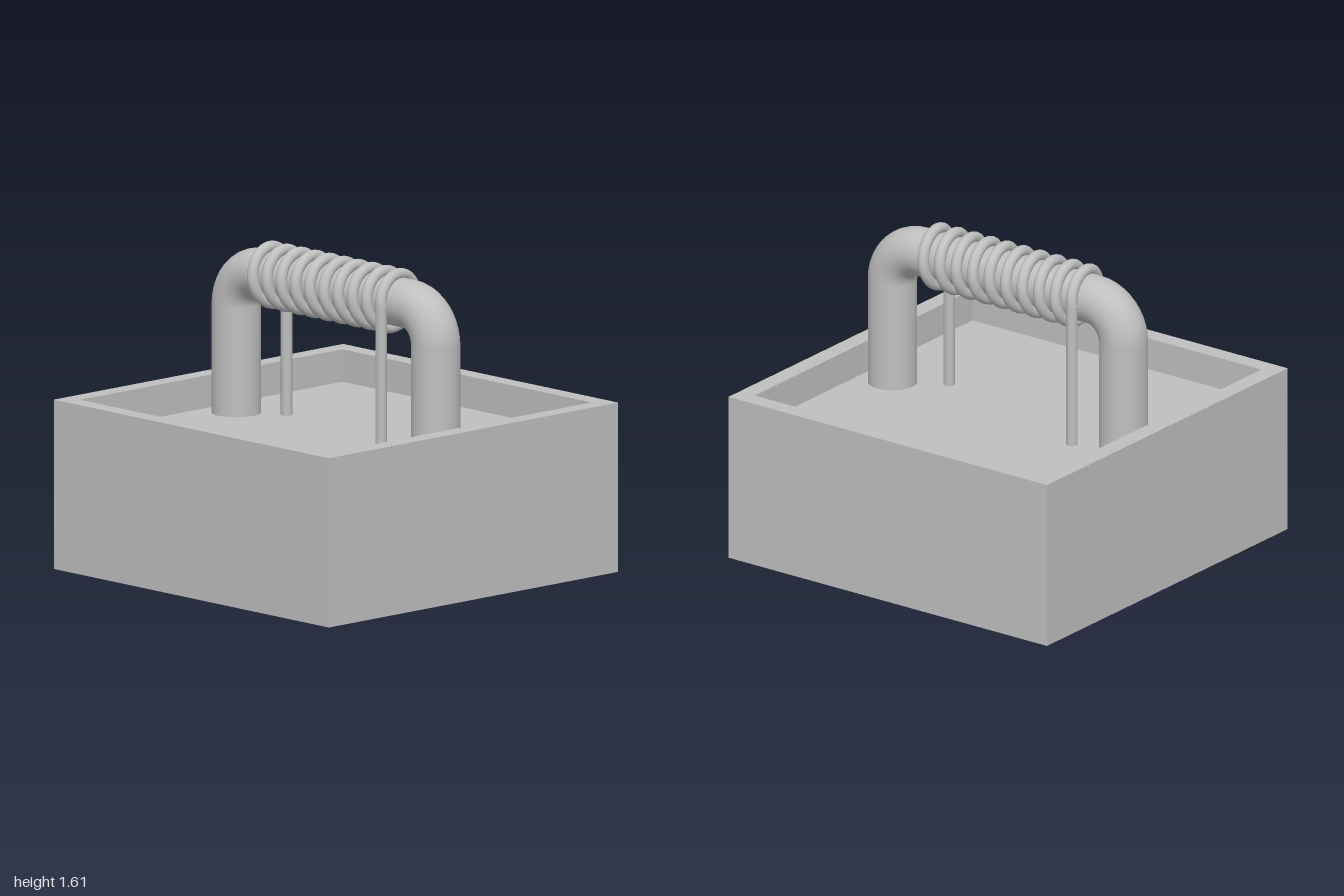
import * as THREE from 'three';

const grey = new THREE.MeshStandardMaterial({ color: 0xbfbfbf });
grey.name = 'plain grey';

const FLOOR = 0.7;          // height of the tray floor
const BAR_Y = 1.443;        // height of the bar axis
const BAR_R = 0.124;
const POST_Z = 0.725;
const BEND_R = 0.185;
const WIRE_R = 0.029;
const COIL_R = 0.141;
const COIL_START = 0.476;   // z where the coil begins
const COIL_END = -0.508;
const TURNS = 9.5;

// Winding from the -x side over the top to the +x side, advancing toward -z
class Helix extends THREE.Curve {
  getPoint(t, target = new THREE.Vector3()) {
    const a = Math.PI - t * TURNS * Math.PI * 2;
    return target.set(
      COIL_R * Math.cos(a),
      BAR_Y + COIL_R * Math.sin(a),
      THREE.MathUtils.lerp(COIL_START, COIL_END, t)
    );
  }
}

function add(parent, name, geometry) {
  const mesh = new THREE.Mesh(geometry, grey);
  mesh.name = name;
  parent.add(mesh);
  return mesh;
}

function upright(parent, name, radius, top, x, z, sides) {
  const h = top - FLOOR;
  add(parent, name, new THREE.CylinderGeometry(radius, radius, h, sides))
    .position.set(x, FLOOR + h / 2, z);
}

// Square open tray: a four-sided lathe with flat faces
function trayGeometry() {
  const profile = [[0, 0], [1, 0], [1, 0.866], [0.906, 0.866], [0.906, FLOOR], [0, FLOOR]]
    .map(([r, y]) => new THREE.Vector2(r * Math.SQRT2, y));
  const geometry = new THREE.LatheGeometry(profile, 4, Math.PI / 4).toNonIndexed();
  geometry.computeVertexNormals();
  return geometry;
}

export function createModel() {
  const model = new THREE.Group();
  model.name = 'coilOnTray';
  add(model, 'tray', trayGeometry());

  // Arched bar: two posts, two bends and a straight top
  const arch = new THREE.Group();
  arch.name = 'archedBar';
  model.add(arch);
  for (const s of [1, -1]) {
    upright(arch, 'post', BAR_R, BAR_Y - BEND_R, 0, s * POST_Z, 32);
    const bend = add(arch, 'bend', new THREE.TorusGeometry(BEND_R, BAR_R, 32, 10, Math.PI / 2));
    bend.position.set(0, BAR_Y - BEND_R, s * (POST_Z - BEND_R));
    bend.rotation.y = -s * Math.PI / 2;
  }
  const bar = add(arch, 'topBar',
    new THREE.CylinderGeometry(BAR_R, BAR_R, 2 * (POST_Z - BEND_R), 32));
  bar.position.y = BAR_Y;
  bar.rotation.x = Math.PI / 2;

  // Wire coil with a straight lead at each end
  const wire = new THREE.Group();
  wire.name = 'wire';
  model.add(wire);
  add(wire, 'coil', new THREE.TubeGeometry(new Helix(), 380, WIRE_R, 16));
  upright(wire, 'leadFront', WIRE_R, BAR_Y, -COIL_R, COIL_START, 16);
  upright(wire, 'leadBack', WIRE_R, BAR_Y, COIL_R, COIL_END, 16);

  return model;
}
